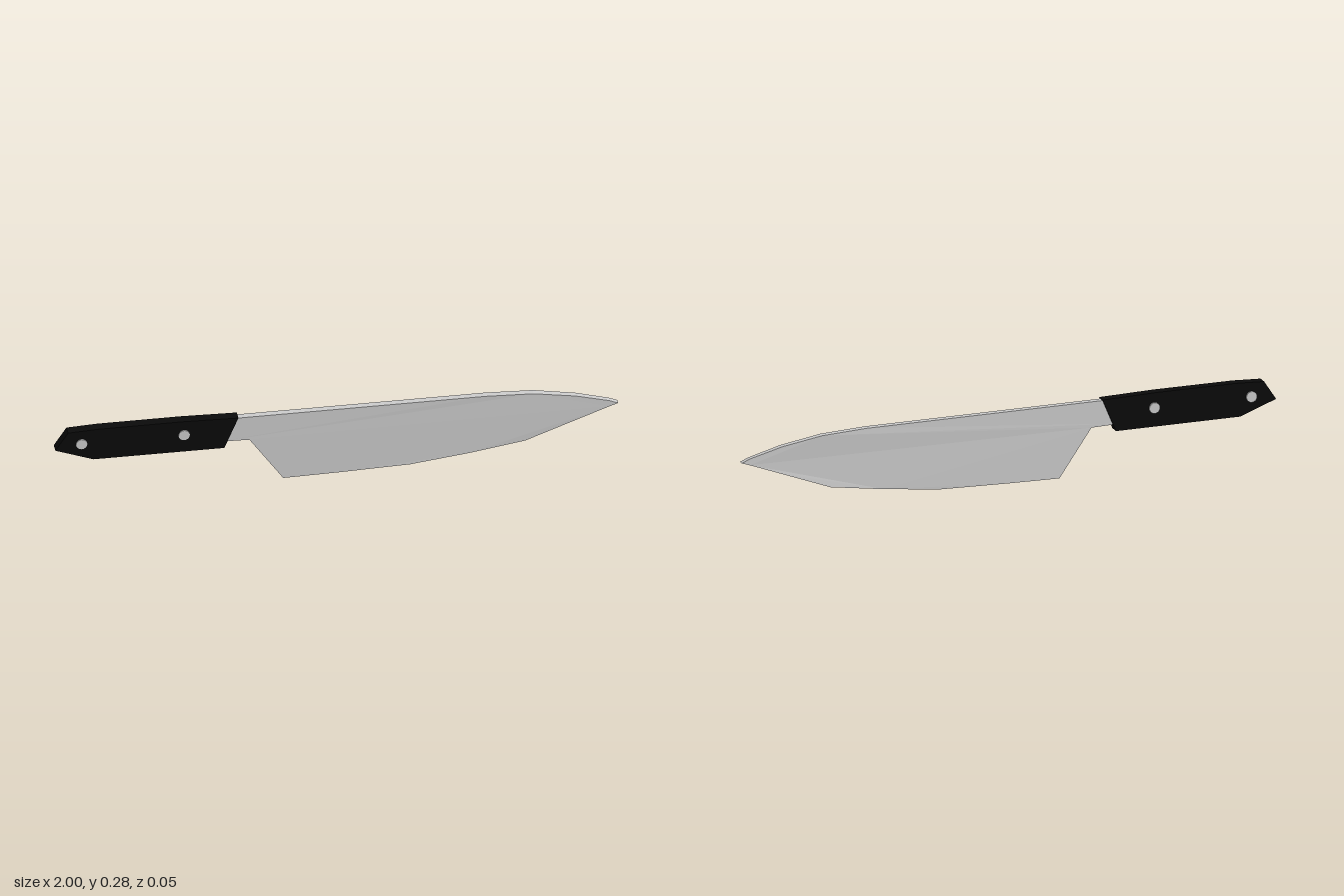
import * as THREE from 'three';

const steel = new THREE.MeshStandardMaterial({ color: 0xcccccc, flatShading: true });
const black = new THREE.MeshStandardMaterial({ color: 0x0a0a0a, flatShading: true });

// Flat plate from an outline of [x, y] points, running from zBack to zFront
function plate(name, points, zBack, zFront, material) {
  const shape = new THREE.Shape(points.map(([x, y]) => new THREE.Vector2(x, y)));
  const geometry = new THREE.ExtrudeGeometry(shape, { depth: zFront - zBack, bevelEnabled: false });
  geometry.translate(0, 0, zBack);
  const mesh = new THREE.Mesh(geometry, material);
  mesh.name = name;
  return mesh;
}

export function createModel() {
  const knife = new THREE.Group();
  knife.name = 'kitchenKnife';

  // Blade with straight spine, curved belly, slanted heel and short neck
  const blade = plate('blade', [
    [-0.42, 0.178], [-0.31, 0.175], [-0.19, 0.002], [0, 0.005], [0.26, 0.012],
    [0.47, 0.037], [0.67, 0.067], [0.85, 0.135], [0.97, 0.18], [1, 0.19],
    [0.97, 0.203], [0.85, 0.235], [0.7, 0.26], [0.53, 0.268], [-0.37, 0.27],
  ], -0.01, 0.014, steel);

  // Slight sideways bow toward the front of the belly, and a thinner tip
  const pos = blade.geometry.attributes.position;
  for (let i = 0; i < pos.count; i++) {
    const x = pos.getX(i);
    const bow = -0.003 * Math.max(0, 1 - Math.abs(x - 0.68) / 0.3);
    const thin = 1 - 0.2 * THREE.MathUtils.smoothstep(x, 0.7, 1);
    pos.setZ(i, 0.002 + (pos.getZ(i) - 0.002) * thin + bow);
  }
  blade.geometry.computeVertexNormals();
  knife.add(blade);

  // Angular handle with a slanted front end
  knife.add(plate('handle', [
    [-1, 0.205], [-0.865, 0.155], [-0.4, 0.154], [-0.35, 0.274],
    [-0.55, 0.279], [-0.85, 0.279], [-0.955, 0.274],
  ], -0.016, 0.02, black));

  // Two rivets passing through the handle
  for (const x of [-0.907, -0.543]) {
    const rivet = new THREE.Mesh(new THREE.CylinderGeometry(0.02, 0.02, 0.046, 16), steel);
    rivet.name = 'rivet';
    rivet.rotation.x = Math.PI / 2;
    rivet.position.set(x, 0.224, 0.001);
    knife.add(rivet);
  }
  return knife;
}
